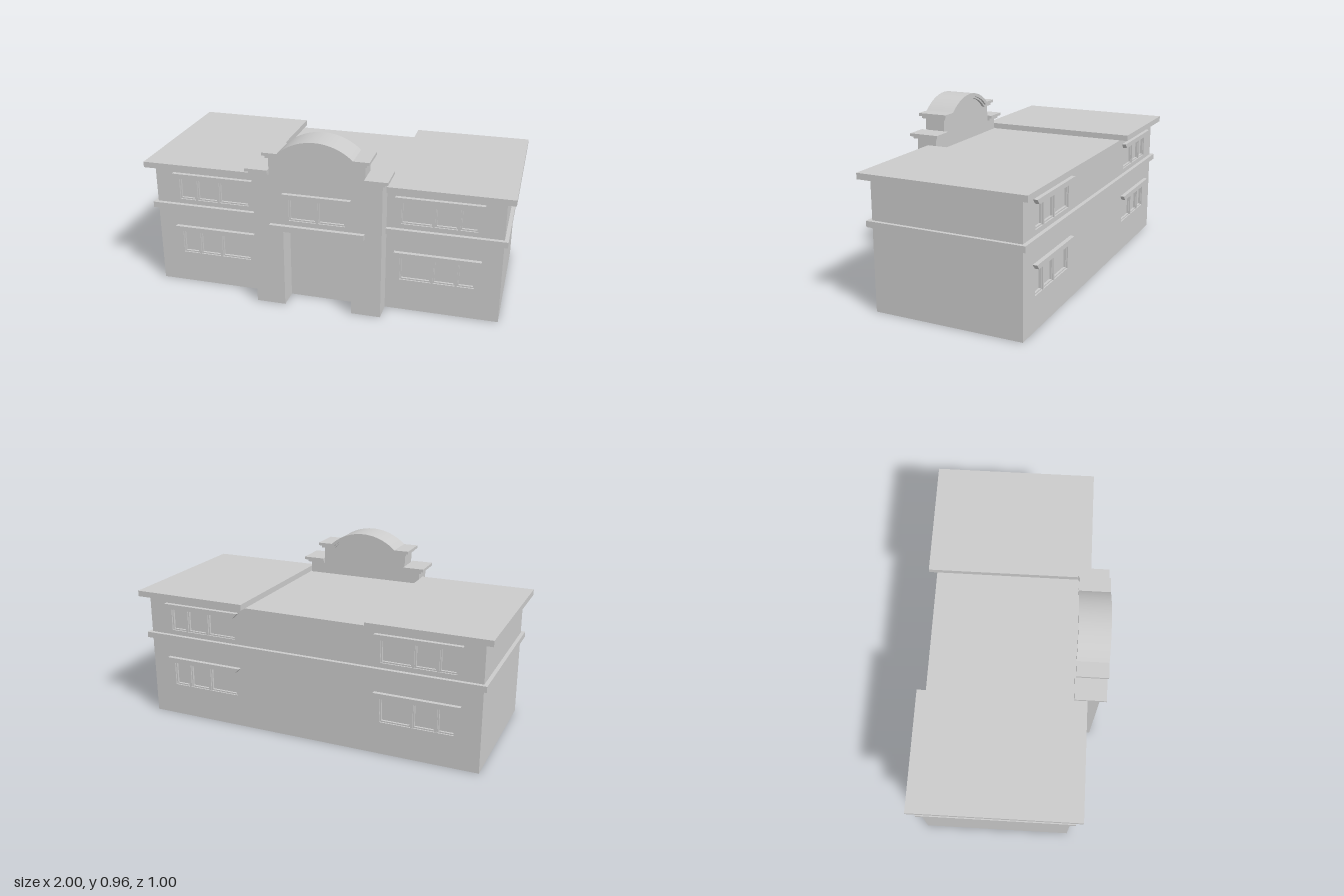
import * as THREE from 'three';
import { toCreasedNormals } from 'three/addons/utils/BufferGeometryUtils.js';

const material = new THREE.MeshStandardMaterial({ color: 0xcccccc });

function add(parent, name, geometry) {
  const mesh = new THREE.Mesh(geometry, material);
  mesh.name = name;
  parent.add(mesh);
  return mesh;
}

// Box given by its limits on each axis
function block(parent, name, x0, x1, y0, y1, z0, z1) {
  const mesh = add(parent, name, new THREE.BoxGeometry(x1 - x0, y1 - y0, z1 - z0));
  mesh.position.set((x0 + x1) / 2, (y0 + y1) / 2, (z0 + z1) / 2);
  return mesh;
}

// Outline in x and y, extruded from z0 to z1
function slab(parent, name, shape, z0, z1) {
  const geometry = new THREE.ExtrudeGeometry(shape, { depth: z1 - z0, bevelEnabled: false, curveSegments: 40 });
  geometry.translate(0, 0, z0);
  return add(parent, name, toCreasedNormals(geometry, 0.3));
}

function rectPath(x0, x1, y0, y1) {
  const p = (x, y) => new THREE.Vector2(x, y);
  return new THREE.Path([p(x0, y0), p(x1, y0), p(x1, y1), p(x0, y1)]);
}

// Sashes and flared hood; z is the outer wall face, panes are [x0, x1] pairs
function windowUnit(parent, name, panes, y0, y1, z) {
  const group = new THREE.Group();
  group.name = name;
  parent.add(group);
  const x0 = panes[0][0], x1 = panes[panes.length - 1][1];
  panes.forEach(([a, b], i) => {
    const sash = new THREE.Shape(rectPath(a, b, y0, y1).getPoints());
    sash.holes.push(rectPath(a + 0.007, b - 0.007, y0 + 0.007, y1 - 0.007));
    slab(group, 'sash', sash, z - 0.02, z - 0.008);
    if (i > 0) block(group, 'mullion', panes[i - 1][1], a, y0, y1, z - 0.02, z - 0.001);
  });
  const hood = new THREE.Shape();
  hood.moveTo(x0 - 0.005, y1);
  hood.lineTo(x1 + 0.005, y1);
  hood.lineTo(x1 + 0.03, y1 + 0.027);
  hood.lineTo(x0 - 0.03, y1 + 0.027);
  slab(group, 'hood', hood, z, z + 0.023);
}

// Arch of the gable
const ARC_Y = 0.669;
const arcAngle = (r, y) => Math.asin((y - ARC_Y) / r);

// Coping layer that follows the gable: flat ends joined by an arched middle
function archedCoping(parent, xEnd, y0, y1, r0, r1, z0, z1) {
  const a0 = arcAngle(r0, y0), a1 = arcAngle(r1, y1);
  const s = new THREE.Shape();
  s.moveTo(-xEnd, y0);
  s.lineTo(-r0 * Math.cos(a0), y0);
  s.absarc(0, ARC_Y, r0, Math.PI - a0, a0, true);
  s.lineTo(xEnd, y0);
  s.lineTo(xEnd, y1);
  s.lineTo(r1 * Math.cos(a1), y1);
  s.absarc(0, ARC_Y, r1, a1, Math.PI - a1, false);
  s.lineTo(-xEnd, y1);
  slab(parent, 'archedCoping', s, z0, z1);
}

export function createModel() {
  const model = new THREE.Group();
  model.name = 'building';

  // Main body with front and back wall faces cut for the windows
  block(model, 'body', -0.955, 0.955, 0, 0.695, -0.435, 0.337);
  const rightPanes = [[0.42, 0.588], [0.6, 0.717], [0.729, 0.82]];
  const leftPanes = rightPanes.map(([a, b]) => [-b, -a]).reverse();
  const rows = [[0.18, 0.321], [0.508, 0.637]];

  for (const side of ['front', 'back']) {
    const face = new THREE.Group();
    face.name = side + 'Facade';
    const z = side === 'front' ? 0.357 : 0.455;
    if (side === 'back') face.rotation.y = Math.PI;
    model.add(face);
    const wall = new THREE.Shape(rectPath(-0.955, 0.955, 0, 0.695).getPoints());
    for (const [y0, y1] of rows) {
      for (const panes of [leftPanes, rightPanes]) {
        wall.holes.push(rectPath(panes[0][0], panes[2][1], y0, y1));
        windowUnit(face, 'wingWindow', panes, y0, y1, z);
      }
    }
    slab(face, side + 'Wall', wall, z - 0.02, z);
  }

  // Belt course around the body and raised roofs on the wings
  block(model, 'beltCourse', -0.975, 0.975, 0.45, 0.482, -0.477, 0.38);
  block(model, 'leftRoof', 0.35, 1, 0.695, 0.727, -0.5, 0.404);
  block(model, 'rightRoof', -1, -0.35, 0.695, 0.727, -0.5, 0.404);

  // Entrance block: door recess below, stepped and arched gable above
  const entrance = new THREE.Group();
  entrance.name = 'entrance';
  model.add(entrance);
  const R = 0.266, a = arcAngle(R, 0.855);
  const outline = new THREE.Shape();
  outline.moveTo(0.185, 0);
  outline.lineTo(0.345, 0);
  outline.lineTo(0.345, 0.76);
  outline.lineTo(0.255, 0.76);
  outline.lineTo(0.255, 0.855);
  outline.lineTo(R * Math.cos(a), 0.855);
  outline.absarc(0, ARC_Y, R, a, Math.PI - a, false);
  outline.lineTo(-0.255, 0.855);
  outline.lineTo(-0.255, 0.76);
  outline.lineTo(-0.345, 0.76);
  outline.lineTo(-0.345, 0);
  outline.lineTo(-0.185, 0);
  outline.lineTo(-0.185, 0.45);
  outline.lineTo(0.185, 0.45);
  outline.holes.push(rectPath(-0.152, 0.152, 0.508, 0.637));
  slab(entrance, 'entranceWall', outline, 0.357, 0.472);
  block(entrance, 'entranceGlass', -0.152, 0.152, 0.508, 0.637, 0.357, 0.452);
  windowUnit(entrance, 'entranceWindow', [[-0.152, -0.006], [0.006, 0.152]], 0.508, 0.637, 0.472);
  block(entrance, 'doorLintel', -0.255, 0.255, 0.45, 0.482, 0.472, 0.495);

  // Two-layer copings on the gable and its shoulders
  archedCoping(entrance, 0.267, 0.855, 0.87, R, 0.275, 0.342, 0.489);
  archedCoping(entrance, 0.282, 0.87, 0.886, 0.275, 0.294, 0.33, 0.5);
  for (const s of [-1, 1]) {
    const span = (x) => (s < 0 ? [-x, -0.255] : [0.255, x]);
    block(entrance, 'shoulderMoulding', ...span(0.36), 0.76, 0.774, 0.342, 0.489);
    block(entrance, 'shoulderCoping', ...span(0.377), 0.774, 0.79, 0.33, 0.5);
  }
  return model;
}
